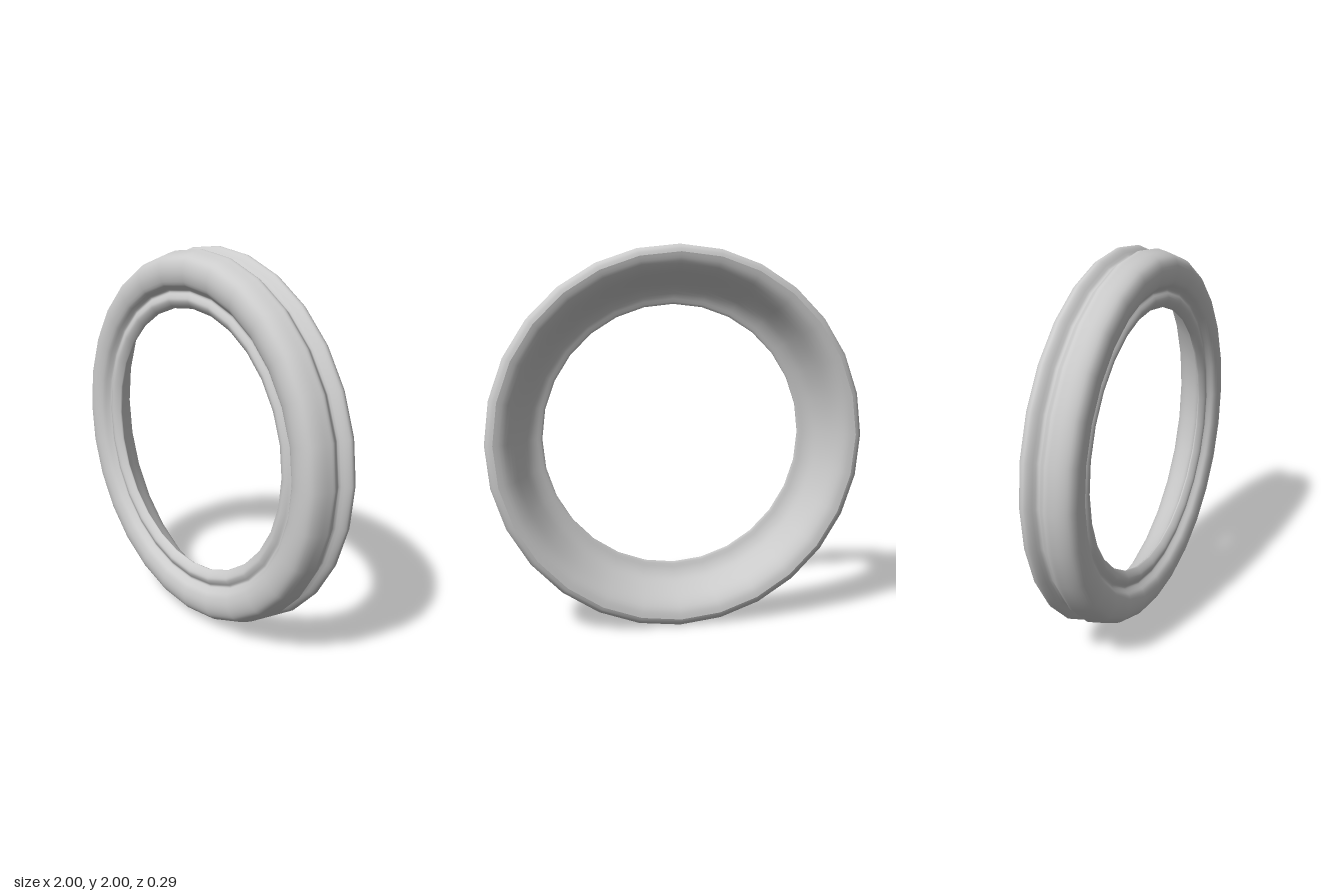
import * as THREE from 'three';

// Cross-section as [radius, z]: outer wall, front face, inner bead, rounded back
const SECTION = [
  [0.96, -0.137],
  [0.985, -0.125], [1.0, -0.098], [0.986, -0.073], // rear rim
  [0.957, -0.045],                                 // outer groove
  [0.972, -0.02], [0.99, 0.005], [0.986, 0.035],   // front shoulder
  [0.974, 0.08], [0.952, 0.115], [0.915, 0.133],
  [0.87, 0.136], [0.825, 0.123], [0.802, 0.1],     // rounded face
  [0.785, 0.086],                                  // inner groove
  [0.765, 0.096], [0.745, 0.102], [0.725, 0.095],  // inner bead
  [0.706, 0.08], [0.7, 0.066],
  [0.74, 0.052], [0.78, 0.026], [0.82, -0.022],    // flared back
  [0.87, -0.09], [0.915, -0.126], [0.96, -0.137],
];

export function createModel() {
  const group = new THREE.Group();
  group.name = 'ring';

  const curve = new THREE.SplineCurve(SECTION.map(([r, z]) => new THREE.Vector2(r, z)));
  const geometry = new THREE.LatheGeometry(curve.getPoints(75), 28);
  geometry.rotateX(Math.PI / 2);

  const material = new THREE.MeshStandardMaterial({ color: 0xcccccc, side: THREE.DoubleSide });
  const body = new THREE.Mesh(geometry, material);
  body.name = 'groovedRing';
  body.position.y = 1;
  body.rotation.y = 0.009; // very slight turn
  group.add(body);
  return group;
}
